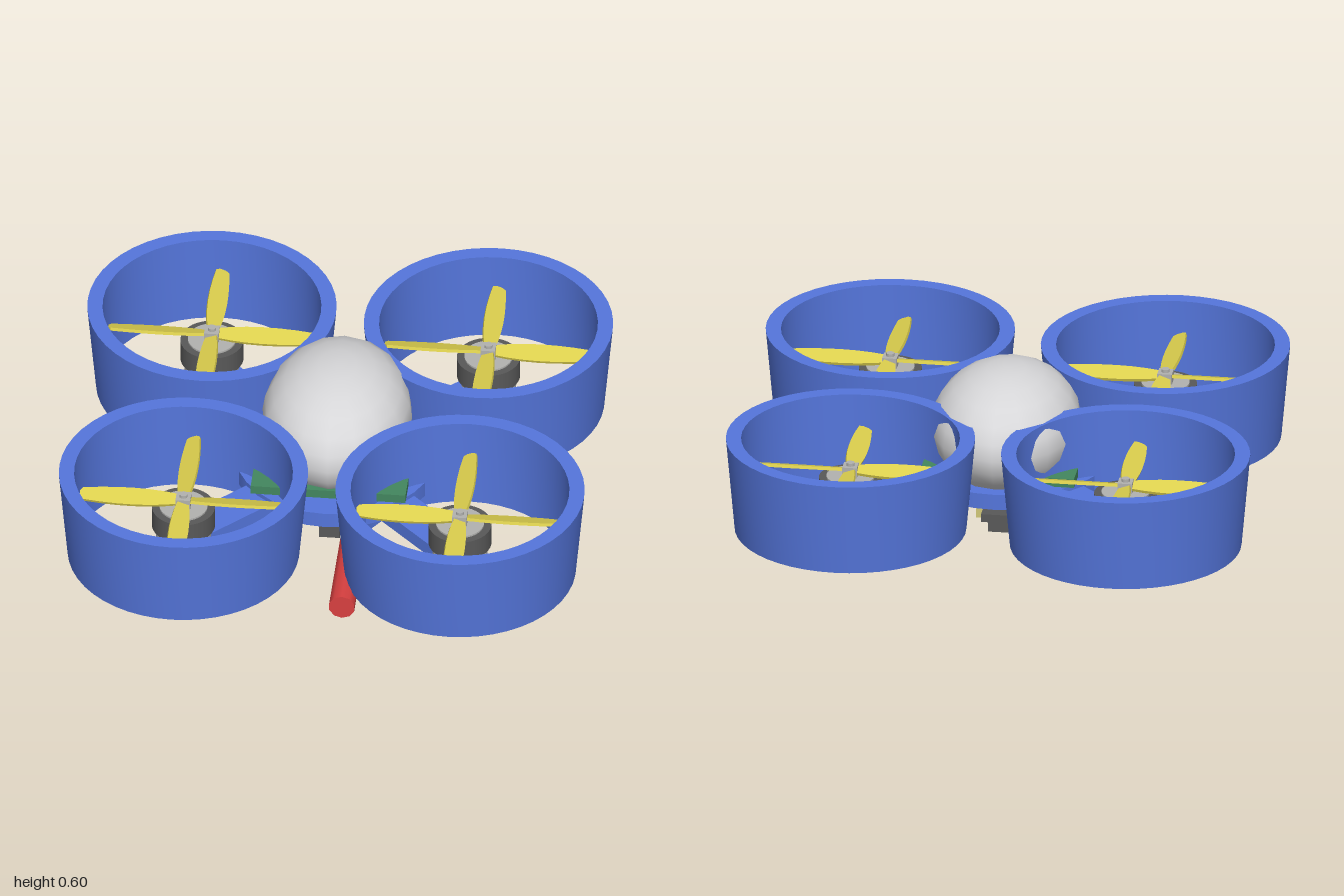
import * as THREE from 'three';
import { toCreasedNormals } from 'three/addons/utils/BufferGeometryUtils.js';

const paint = (name, color) => {
  const m = new THREE.MeshStandardMaterial({ color });
  m.name = name;
  return m;
};

export function createModel() {
  const blue = paint('frame blue', 0x5576dc);
  const shell = paint('canopy grey', 0xd6d6d8);
  const green = paint('board green', 0x43875f);
  const yellow = paint('propeller yellow', 0xddd04e);
  const sand = paint('magazine sand', 0xd2c878);
  const dark = paint('dark grey', 0x595959);
  const steel = paint('steel', 0xb2b2b0);
  const red = paint('barrel red', 0xd84040);

  const model = new THREE.Group();
  model.name = 'ductedDrone';

  const add = (parent, name, geo, mat, x = 0, y = 0, z = 0) => {
    const mesh = new THREE.Mesh(geo, mat);
    mesh.name = name;
    mesh.position.set(x, y, z);
    parent.add(mesh);
    return mesh;
  };
  // Box and upright disc given by their lowest and highest y
  const box = (parent, name, mat, w, y0, y1, z0, z1, x = 0) =>
    add(parent, name, new THREE.BoxGeometry(w, y1 - y0, z1 - z0), mat, x, (y0 + y1) / 2, (z0 + z1) / 2);
  const disc = (parent, name, mat, r, y0, y1, sides = 32) =>
    add(parent, name, new THREE.CylinderGeometry(r, r, y1 - y0, sides), mat, 0, (y0 + y1) / 2, 0);

  // Body: round plate, circuit board and egg-shaped canopy
  disc(model, 'bodyPlate', blue, 0.385, 0.15, 0.212);
  box(model, 'circuitBoard', green, 0.59, 0.22, 0.255, -0.295, 0.295);
  disc(model, 'boardSpacer', dark, 0.2, 0.212, 0.22);
  add(model, 'canopy', new THREE.SphereGeometry(1, 16, 12), shell, 0, 0.365, -0.05).scale.set(0.285, 0.235, 0.38);

  // Duct wall: tapered outside, straight inside
  const profile = [[0.44, 0.107], [0.473, 0.475], [0.415, 0.475], [0.415, 0.107], [0.44, 0.107]];
  const ductGeo = toCreasedNormals(
    new THREE.LatheGeometry(profile.map(([r, y]) => new THREE.Vector2(r, y)), 48), 0.6);

  // Propeller blade, lying along +x
  const outline = new THREE.Shape();
  outline.moveTo(0.02, -0.022);
  outline.quadraticCurveTo(0.18, -0.052, 0.385, -0.026);
  outline.lineTo(0.395, -0.012);
  outline.lineTo(0.395, 0.012);
  outline.lineTo(0.385, 0.026);
  outline.quadraticCurveTo(0.18, 0.052, 0.02, 0.022);
  const bladeGeo = (pitch) => new THREE.ExtrudeGeometry(outline, { depth: 0.012, bevelEnabled: false, curveSegments: 6 })
    .translate(0, 0, -0.006).rotateX(-Math.PI / 2).rotateX(pitch);

  for (const sz of [1, -1]) {
    const blade = bladeGeo(sz > 0 ? -0.35 : 0.35);
    for (const sx of [1, -1]) {
      const rotor = new THREE.Group();
      rotor.name = (sz > 0 ? 'front' : 'rear') + (sx > 0 ? 'Left' : 'Right') + 'Rotor';
      rotor.position.set(sx * 0.527, 0, sz * 0.527);
      model.add(rotor);

      add(rotor, 'duct', ductGeo, blue);

      // Motor stack
      disc(rotor, 'motorBase', steel, 0.105, 0.17, 0.205);
      disc(rotor, 'motorStator', steel, 0.09, 0.205, 0.235);
      disc(rotor, 'motorBell', dark, 0.12, 0.228, 0.315);
      disc(rotor, 'motorCap', steel, 0.092, 0.315, 0.322);
      disc(rotor, 'motorShaft', steel, 0.016, 0.322, 0.375, 12);

      // Four-bladed propeller
      const propeller = new THREE.Group();
      propeller.name = 'propeller';
      propeller.position.y = 0.345;
      rotor.add(propeller);
      box(propeller, 'hub', steel, 0.056, -0.023, 0.018, -0.028, 0.028);
      for (let i = 0; i < 4; i++) add(propeller, 'blade', blade, yellow).rotation.y = i * Math.PI / 2;

      // Diagonal arm from the body to below the motor
      const arm = new THREE.Group();
      arm.name = 'arm';
      arm.rotation.y = Math.atan2(sx, sz);
      model.add(arm);
      box(arm, 'armBeam', blue, 0.15, 0.14, 0.195, 0.25, 0.75);
    }
  }

  // Launcher slung beneath the body
  const launcher = new THREE.Group();
  launcher.name = 'launcher';
  model.add(launcher);
  box(launcher, 'receiver', dark, 0.08, 0, 0.13, -0.25, 0.25);
  box(launcher, 'mount', dark, 0.14, 0.128, 0.15, -0.15, 0.15);
  box(launcher, 'magazine', sand, 0.19, 0.032, 0.12, -0.195, 0.02);
  box(launcher, 'crossBar', dark, 0.2, 0.06, 0.092, 0.2, 0.25);
  box(launcher, 'rearGrip', dark, 0.12, 0.06, 0.092, -0.3, -0.2);
  add(launcher, 'barrel', new THREE.CylinderGeometry(0.05, 0.05, 0.53, 10).rotateX(Math.PI / 2), red, 0.102, 0.074, 0.515);

  return model;
}
